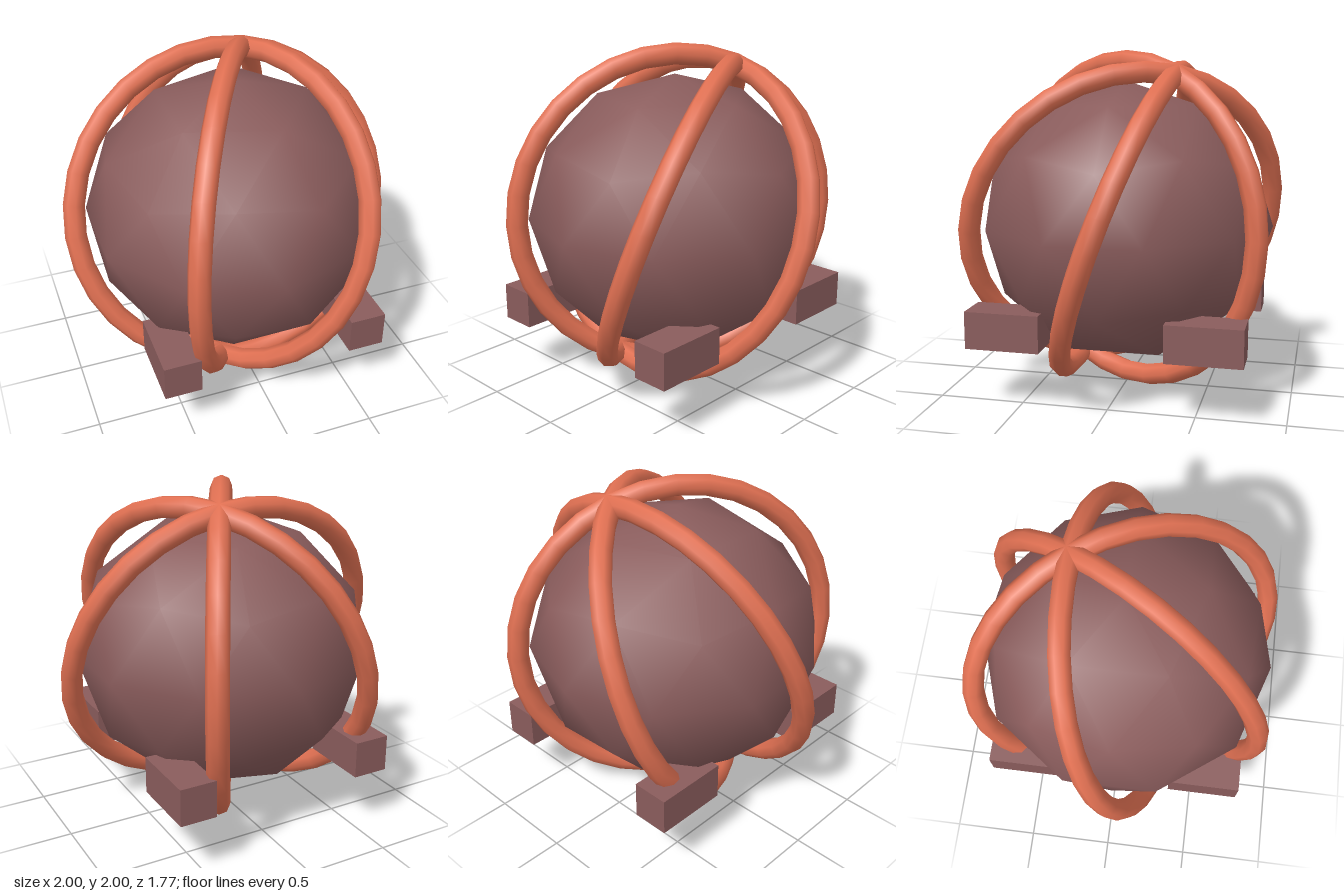
import * as THREE from 'three';

const deg = THREE.MathUtils.degToRad;

export function createModel() {
  const model = new THREE.Group();
  model.name = 'cagedBall';

  const brown = new THREE.MeshStandardMaterial({ color: 0x8a5c5c });
  brown.name = 'dusty brown';
  const orange = new THREE.MeshStandardMaterial({ color: 0xe07052 });
  orange.name = 'coral orange';

  function add(name, geometry, material, x, y, z) {
    const mesh = new THREE.Mesh(geometry, material);
    mesh.name = name;
    mesh.position.set(x, y, z);
    model.add(mesh);
    return mesh;
  }

  // Core: smooth low-poly ball, turned so that a corner points straight up
  const ball = new THREE.IcosahedronGeometry(0.864, 1);
  ball.rotateX(-Math.atan((1 + Math.sqrt(5)) / 2));
  ball.rotateY(Math.PI / 2);
  ball.scale(1, 0.953, 1);
  add('core', ball, brown, 0, 1, 0);

  // Three rings that cross at one tilted axis: [turn about y, tilt]
  const ringGeometry = new THREE.TorusGeometry(0.9375, 0.0625, 8, 32);
  [[0, -20], [60, 0], [120, 20]].forEach(([turn, tilt], i) => {
    const ring = add('ring' + (i + 1), ringGeometry, orange, 0, 1, 0);
    ring.rotation.set(deg(tilt), deg(turn), 0, 'YXZ');
  });

  // Four block feet at the corners
  const footGeometry = new THREE.BoxGeometry(0.214, 0.214, 0.428);
  for (const [side, sx] of [['left', 1], ['right', -1]]) {
    for (const [end, sz] of [['Front', 1], ['Back', -1]]) {
      add(side + end + 'Foot', footGeometry, brown, sx * 0.559, 0.463, sz * 0.562);
    }
  }

  return model;
}
